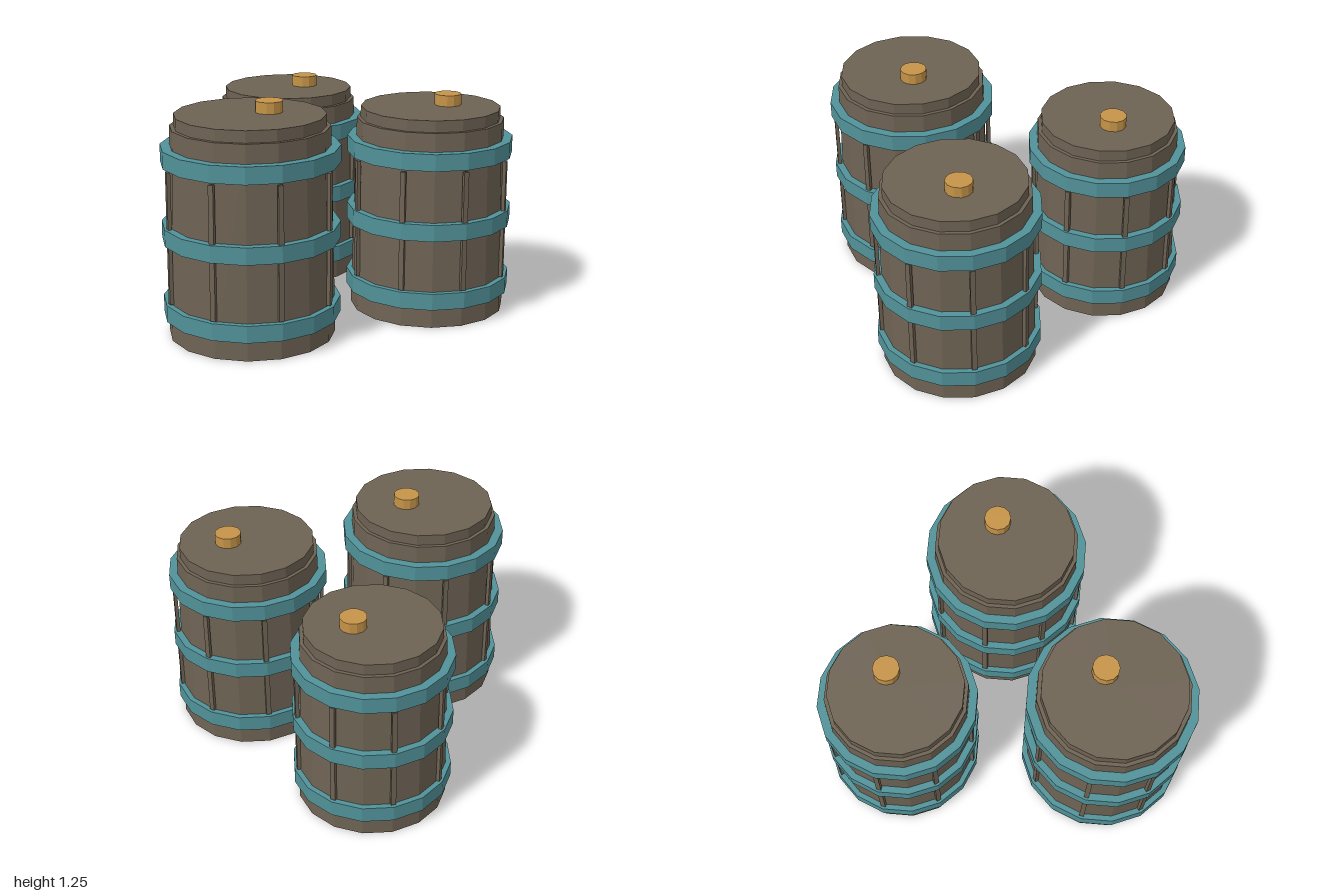
import * as THREE from 'three';

const SIDES = 16;
const BAND_HEIGHT = 0.092;

export function createModel() {
  const wood = new THREE.MeshStandardMaterial({ color: 0x6e6354, flatShading: true });
  wood.name = 'brown wood';
  const teal = new THREE.MeshStandardMaterial({ color: 0x519299, flatShading: true });
  teal.name = 'teal metal';
  const gold = new THREE.MeshStandardMaterial({ color: 0xc69448, flatShading: true });
  gold.name = 'golden cork';

  function add(parent, name, geometry, material, x, y, z) {
    const mesh = new THREE.Mesh(geometry, material);
    mesh.name = name;
    mesh.position.set(x, y, z);
    parent.add(mesh);
    return mesh;
  }

  // r: band radius, h: height of the body below the lid
  function barrel(name, x, z, r, h) {
    const g = new THREE.Group();
    g.name = name;
    g.position.set(x, 0, z);

    // Tapered body and inset lid
    add(g, 'body', new THREE.CylinderGeometry(r * 0.888, r * 0.943, h, SIDES), wood, 0, h / 2, 0);
    add(g, 'lid', new THREE.CylinderGeometry(r * 0.843, r * 0.843, 0.063, SIDES), wood, 0, h + 0.0315, 0);

    // Off-centre bung
    add(g, 'bung', new THREE.CylinderGeometry(0.074, 0.074, 0.061, 12), gold, 0.105, h + 0.0935, 0);

    // Three bands, evenly spaced up the body
    const low = 0.155, high = h - 0.147;
    for (let i = 0; i < 3; i++) {
      const y = low + (high - low) * i / 2;
      add(g, 'band', new THREE.CylinderGeometry(r, r, BAND_HEIGHT, SIDES), teal, 0, y, 0);
    }

    // Eight upright strips around the body
    const bottom = 0.207, top = h - 0.208;
    for (let i = 0; i < 8; i++) {
      const a = i * Math.PI / 4, d = r * 0.948;
      const strip = add(g, 'strip', new THREE.BoxGeometry(0.028, top - bottom, 0.02), wood,
        Math.sin(a) * d, (top + bottom) / 2, Math.cos(a) * d);
      strip.rotation.y = a;
    }
    return g;
  }

  const model = new THREE.Group();
  model.name = 'barrels';
  model.add(
    barrel('rightBarrel', -0.527, 0.487, 0.473, 1.13),
    barrel('leftBarrel', 0.543, 0.427, 0.455, 1.073),
    barrel('backBarrel', 0.065, -0.522, 0.443, 1.041)
  );
  return model;
}
